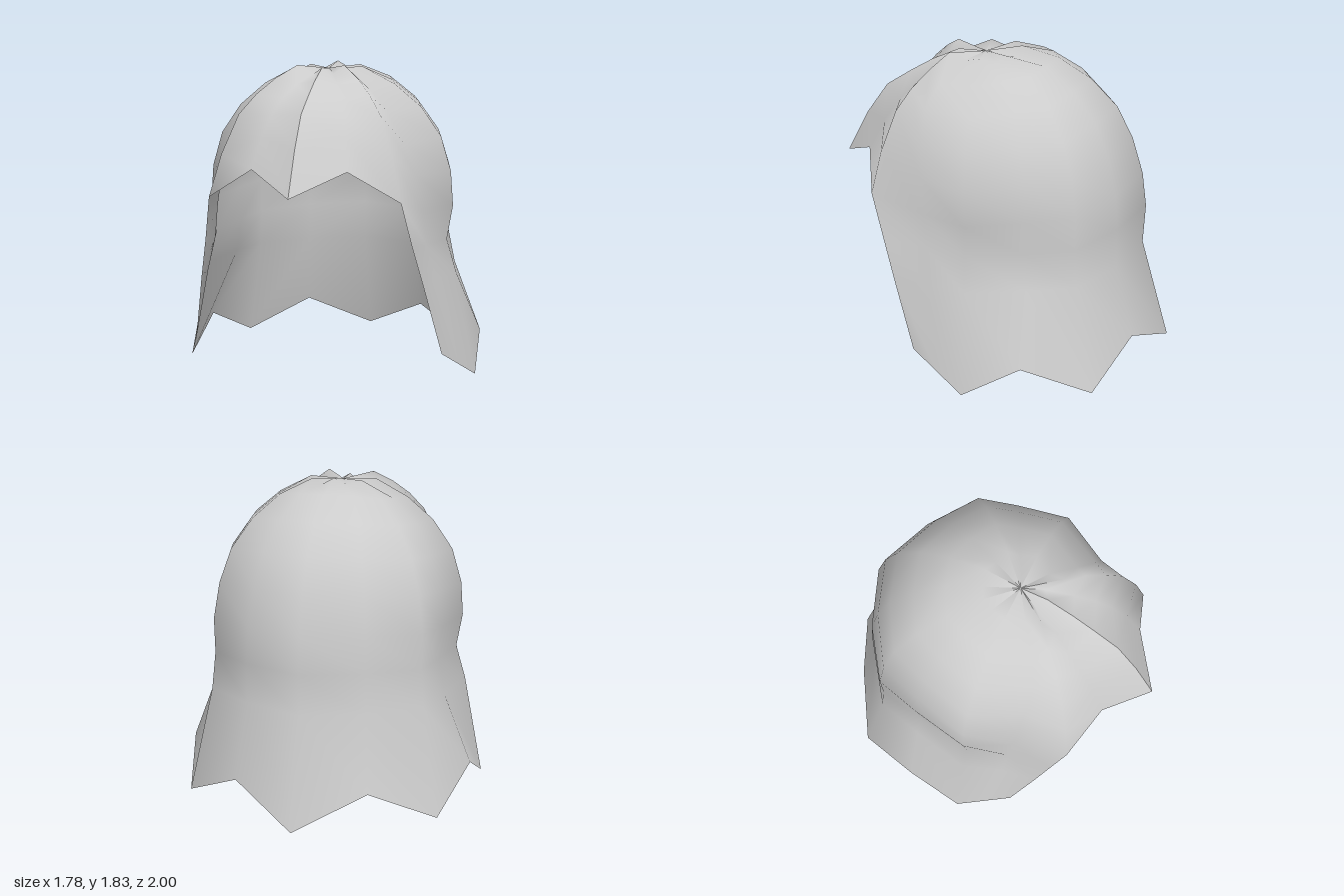
import * as THREE from 'three';

const CROWN = [0, 1.79, 0.14];
const ROWS = 10; // crown, six dome rows, three skirt rows
const DOME_ROWS = 6;

// Dome profiles: [reach from the crown axis, height] for the side and the back
const SIDE = [[0.27, 1.8], [0.53, 1.7], [0.74, 1.57], [0.9, 1.4], [0.98, 1.2], [1, 1], [0.955, 0.8], [1.035, 0.6]];
const BACK = [[0.22, 1.83], [0.44, 1.77], [0.64, 1.65], [0.8, 1.49], [0.9, 1.3], [0.97, 1.08], [1, 0.87], [0.99, 0.63]];

// A column of the shell: widest point (x, z), blend from side to back, hem point,
// and the height of the ridge or pinch next to the crown
function column(x, z, blend, hem, pinchHeight) {
  const points = SIDE.map(([f, y], i) => {
    const reach = THREE.MathUtils.lerp(f, BACK[i][0], blend);
    const height = i === 0 ? pinchHeight : THREE.MathUtils.lerp(y, BACK[i][1], blend);
    return [x * reach, height, CROWN[2] + (z - CROWN[2]) * reach];
  });
  return [CROWN, ...points, hem];
}

// Columns of the left half, running from the front centre to the back centre
function halfColumns() {
  const fringeCentre = [CROWN, [0, 1.795, 0.3], [0, 1.725, 0.46], [0, 1.65, 0.59],
    [0, 1.555, 0.74], [0, 1.37, 0.87], [0, 1.12, 1]];
  const fringeNotch = [CROWN, [0.06, 1.76, 0.26], [0.12, 1.705, 0.41], [0.17, 1.63, 0.52],
    [0.21, 1.54, 0.61], [0.24, 1.42, 0.7], [0.27, 1.25, 0.79]];
  const faceEdge = [CROWN, [0.14, 1.81, 0.33], [0.24, 1.74, 0.42], [0.33, 1.65, 0.51],
    [0.41, 1.54, 0.585], [0.49, 1.32, 0.66], [0.55, 1.08, 0.71],
    [0.6, 0.83, 0.64], [0.655, 0.59, 0.57], [0.74, 0.19, 0.45]];
  const templeFold = [CROWN, [0.15, 1.77, 0.24], [0.29, 1.68, 0.35], [0.41, 1.56, 0.42],
    [0.52, 1.37, 0.42], [0.575, 1.2, 0.41], [0.61, 1, 0.4],
    [0.635, 0.8, 0.38], [0.69, 0.6, 0.36], [0.815, 0.095, 0.295]];
  return [
    fringeCentre, fringeNotch, faceEdge, templeFold,
    column(0.745, 0.14, 0, [0.89, 0, 0.14], 1.8),
    column(0.69, -0.2, 0.25, [0.87, 0.19, -0.2], 1.775),
    column(0.63, -0.48, 0.55, [0.75, 0, -0.6], 1.81),
    column(0.35, -0.69, 0.85, [0.39, 0.19, -0.8], 1.785),
    column(0, -0.83, 1, [0, 0, -1], 1.83),
  ];
}

// Skin the columns; the seam at the front centre stays open so its ridge is sharp
function shellGeometry() {
  const half = halfColumns();
  const mirrored = half.slice(0, -1).reverse().map(col => col.map(([x, y, z]) => [-x, y, z]));
  const columns = [...half, ...mirrored];

  const positions = [];
  for (const col of columns) {
    for (let r = 0; r < ROWS; r++) positions.push(...col[Math.min(r, col.length - 1)]);
  }

  const indices = [];
  for (let c = 0; c < columns.length - 1; c++) {
    // The fringe stops at the brow, leaving the face open
    const isFringe = c < 2 || c > columns.length - 4;
    const lastRow = isFringe ? DOME_ROWS : ROWS - 1;
    for (let r = 0; r < lastRow; r++) {
      const a = c * ROWS + r;
      const b = a + ROWS;
      indices.push(a, a + 1, b + 1);
      if (r > 0) indices.push(a, b + 1, b); // the crown row is a fan of single triangles
    }
  }

  const geometry = new THREE.BufferGeometry();
  geometry.setAttribute('position', new THREE.Float32BufferAttribute(positions, 3));
  geometry.setIndex(indices);
  geometry.computeVertexNormals();
  return geometry;
}

export function createModel() {
  const group = new THREE.Group();
  group.name = 'hair';
  const grey = new THREE.MeshStandardMaterial({ color: 0xcccccc, side: THREE.DoubleSide });
  grey.name = 'light grey';

  // Bobbed hair shell with a pointed fringe and zigzag hem
  const shell = new THREE.Mesh(shellGeometry(), grey);
  shell.name = 'hairShell';
  group.add(shell);
  return group;
}
